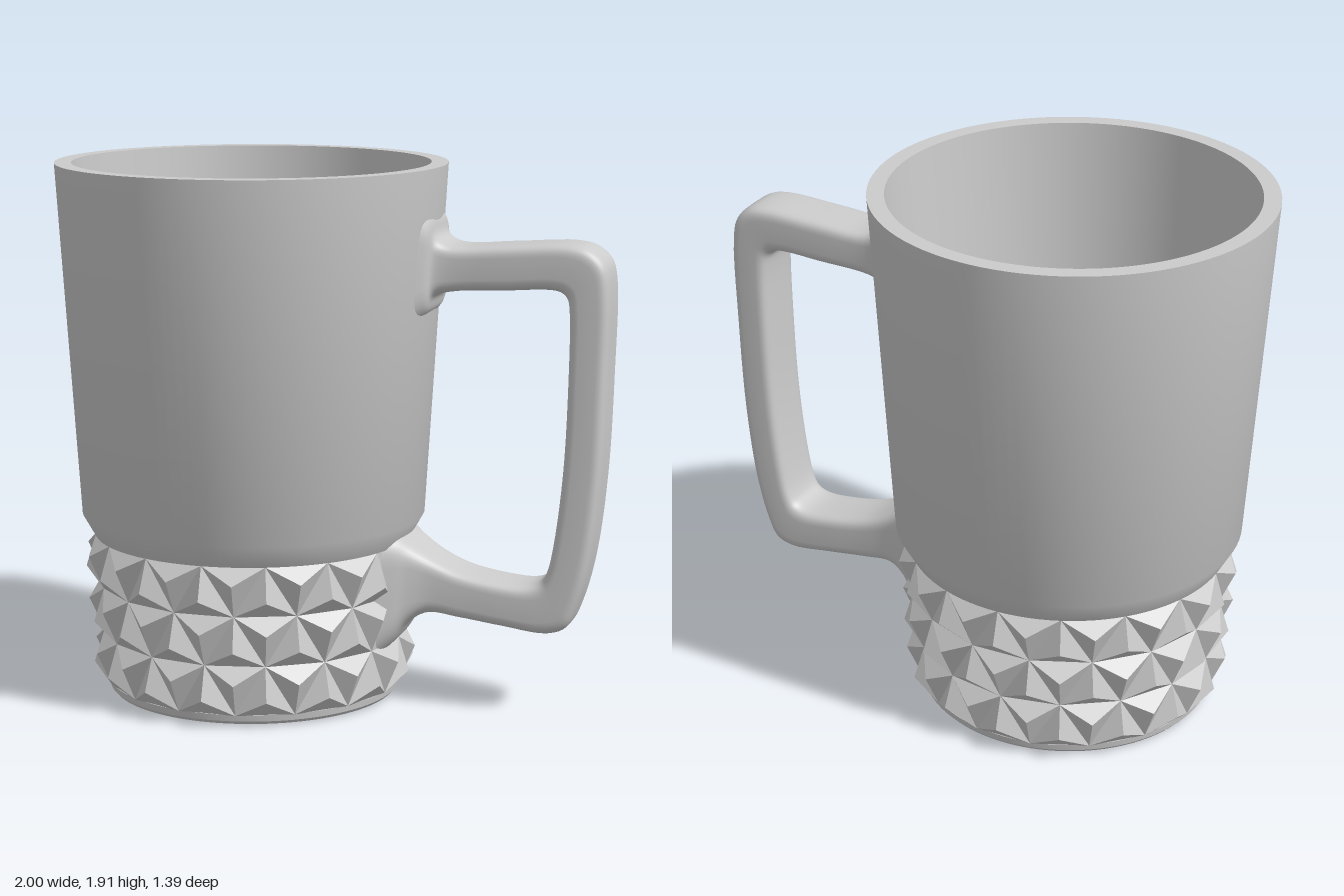
import * as THREE from 'three';
import { toCreasedNormals } from 'three/addons/utils/BufferGeometryUtils.js';

const AXIS_X = -0.305; // cup axis; the handle reaches out to +x

function makeMesh(name, geometry, flatShading = false) {
  const mesh = new THREE.Mesh(geometry, new THREE.MeshStandardMaterial({ color: 0xcccccc, flatShading }));
  mesh.name = name;
  return mesh;
}

// Turned cup: foot, core behind the facets, tapered wall, rim and inside
function cupGeometry() {
  const profile = [
    [0, 0.06], [0.34, 0.06], [0.37, 0.05], [0.40, 0.02], [0.43, 0.004], [0.46, 0],
    [0.495, 0], [0.515, 0.006], [0.526, 0.018], [0.53, 0.042], [0.515, 0.045],
    [0.515, 0.577], [0.573, 0.58], [0.618, 0.66], [0.695, 1.915], [0.635, 1.915],
    [0.56, 0.68], [0.50, 0.59], [0.485, 0.26], [0.475, 0.20], [0.45, 0.16], [0.41, 0.14], [0, 0.14],
  ].map(([r, y]) => new THREE.Vector2(r, y));
  return toCreasedNormals(new THREE.LatheGeometry(profile, 96), 0.5);
}

// Three rows of triangular pyramids around the base
function facetGeometry() {
  const count = 16, rows = 3, step = (Math.PI * 2) / count;
  const y0 = 0.04, rowHeight = 0.18, lift = 0.045;
  const radius = (y) => 0.535 + 0.065 * (y - y0);
  const positions = [];
  const point = (angle, y, r = radius(y)) => [Math.cos(angle) * r, y, Math.sin(angle) * r];

  const pyramid = (corners, angle, y, row) => {
    // the facets flatten out where the handle merges in
    const offset = Math.abs(Math.atan2(Math.sin(angle), Math.cos(angle)));
    const flat = row > 0 && offset < step * 0.8;
    const peak = point(angle, y, flat ? radius(y) * 0.985 : radius(y) + lift);
    corners.forEach((c, i) => positions.push(...c, ...corners[(i + 1) % 3], ...peak));
  };

  for (let row = 0; row < rows; row++) {
    const low = y0 + row * rowHeight, high = low + rowHeight;
    const shift = row % 2 ? 0 : 0.5;
    for (let i = 0; i < count; i++) {
      const down = (i + shift) * step, up = down + step / 2, h = step / 2;
      pyramid([point(up + h, low), point(up - h, low), point(up, high)], up, low + rowHeight / 3, row);
      pyramid([point(down - h, high), point(down + h, high), point(down, low)], down, high - rowHeight / 3, row);
    }
  }
  const geometry = new THREE.BufferGeometry();
  geometry.setAttribute('position', new THREE.Float32BufferAttribute(positions, 3));
  geometry.computeVertexNormals();
  return geometry;
}

// Handle: rounded-rectangle sections between an outer and an inner edge
function handleGeometry() {
  // outer x, outer y, inner x, inner y, half width
  const stations = [
    [0.335, 1.79, 0.325, 1.38, 0.19],
    [0.375, 1.74, 0.365, 1.42, 0.155],
    [0.395, 1.68, 0.385, 1.47, 0.125],
    [0.45, 1.652, 0.44, 1.488, 0.112],
    [0.65, 1.66, 0.64, 1.50, 0.11],
    [0.86, 1.67, 0.79, 1.508, 0.11],
    [0.93, 1.655, 0.83, 1.50, 0.11],
    [0.98, 1.61, 0.85, 1.48, 0.11],
    [0.998, 1.54, 0.858, 1.44, 0.11],
    [0.995, 1.20, 0.858, 1.18, 0.11],
    [0.98, 0.85, 0.845, 0.87, 0.11],
    [0.945, 0.56, 0.815, 0.61, 0.11],
    [0.90, 0.39, 0.795, 0.52, 0.11],
    [0.865, 0.32, 0.775, 0.485, 0.11],
    [0.80, 0.295, 0.73, 0.467, 0.11],
    [0.64, 0.31, 0.62, 0.472, 0.11],
    [0.48, 0.33, 0.48, 0.50, 0.112],
    [0.37, 0.34, 0.38, 0.545, 0.122],
    [0.30, 0.30, 0.31, 0.59, 0.145],
    [0.25, 0.23, 0.27, 0.62, 0.17],
    [0.19, 0.17, 0.22, 0.64, 0.20],
  ];
  const curve = (pick) => new THREE.CatmullRomCurve3(stations.map(pick), false, 'centripetal');
  const outer = curve((s) => new THREE.Vector3(s[0], s[1], s[4]));
  const inner = curve((s) => new THREE.Vector3(s[2], s[3], s[4]));
  const along = (stations.length - 1) * 5, around = 40;
  const positions = [], index = [];
  const soften = (v) => Math.sign(v) * Math.pow(Math.abs(v), 0.42);

  for (let i = 0; i <= along; i++) {
    const a = outer.getPoint(i / along), b = inner.getPoint(i / along);
    for (let j = 0; j < around; j++) {
      const t = (j / around) * Math.PI * 2;
      const c = soften(Math.cos(t)) / 2;
      positions.push(
        (a.x + b.x) / 2 + (a.x - b.x) * c,
        (a.y + b.y) / 2 + (a.y - b.y) * c,
        a.z * soften(Math.sin(t)),
      );
      if (i === along) continue;
      const p = i * around + j, q = i * around + ((j + 1) % around);
      index.push(p, q, p + around, q, q + around, p + around);
    }
  }
  const geometry = new THREE.BufferGeometry();
  geometry.setAttribute('position', new THREE.Float32BufferAttribute(positions, 3));
  geometry.setIndex(index);
  geometry.computeVertexNormals();
  return geometry;
}

export function createModel() {
  const group = new THREE.Group();
  group.name = 'mug';
  const cup = makeMesh('cup', cupGeometry());
  const facets = makeMesh('facetedBand', facetGeometry(), true);
  cup.position.x = facets.position.x = AXIS_X;
  group.add(cup, facets, makeMesh('handle', handleGeometry()));
  return group;
}
